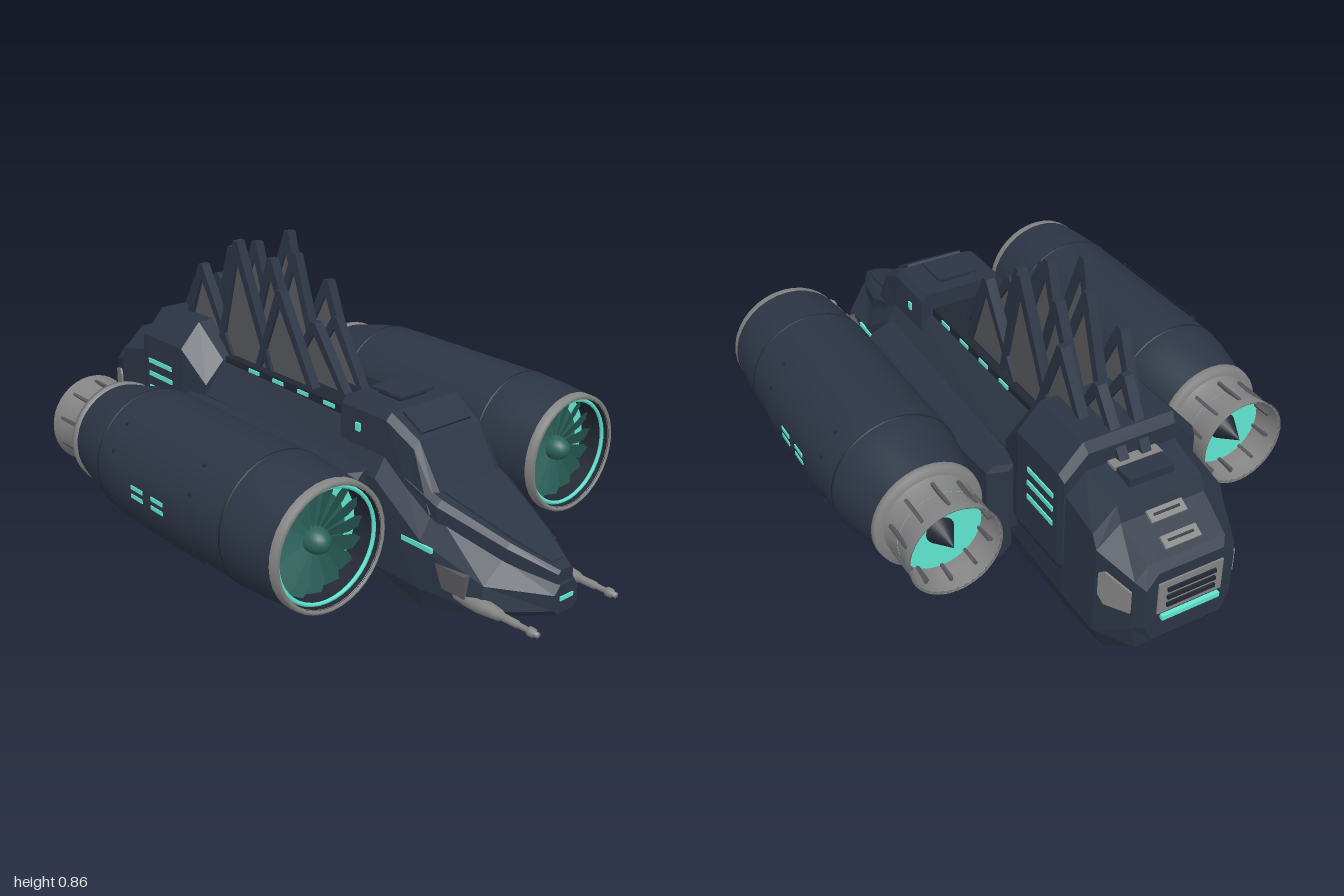
import * as THREE from 'three';

const mat = (name, color, extra = {}) => {
  const m = new THREE.MeshStandardMaterial({ color, ...extra });
  m.name = name;
  return m;
};

export function createModel() {
  const root = new THREE.Group();
  root.name = 'gunship';
  const hull = mat('hull slate', 0x2c3545);
  const dark = mat('dark slate', 0x222833);
  const grey = mat('bare metal', 0x858484, { side: THREE.DoubleSide });
  const panel = mat('sail grey', 0x58595d);
  const teal = mat('glow teal', 0x62ead4);
  const fan = mat('fan green', 0x2c625b, { side: THREE.DoubleSide });
  const blue = mat('belly glass', 0x5a92cc);

  const add = (name, geo, material, x = 0, y = 0, z = 0, parent = root) => {
    const m = new THREE.Mesh(geo, material);
    m.name = name;
    m.position.set(x, y, z);
    parent.add(m);
    return m;
  };
  const box = (name, material, w, h, d, x, y, z, parent) =>
    add(name, new THREE.BoxGeometry(w, h, d), material, x, y, z, parent);

  // Faceted loft: each section is [z, x0,y0, x1,y1, ...], a right half from bottom to top, back to front
  const loft = (sections) => {
    const rings = sections.map(([z, ...p]) => {
      const half = [];
      for (let i = 0; i < p.length; i += 2) half.push([p[i], p[i + 1], z]);
      return half.concat(half.slice().reverse().map(([x, y]) => [-x, y, z]));
    });
    const out = [], n = rings[0].length;
    for (let s = 0; s < rings.length - 1; s++) {
      const a = rings[s], b = rings[s + 1];
      for (let i = 0; i < n; i++) {
        const j = (i + 1) % n;
        out.push(...a[i], ...a[j], ...b[j], ...a[i], ...b[j], ...b[i]);
      }
    }
    const first = rings[0], last = rings[rings.length - 1];
    for (let i = 1; i < n - 1; i++) {
      out.push(...last[0], ...last[i], ...last[i + 1]);
      out.push(...first[0], ...first[i + 1], ...first[i]);
    }
    const g = new THREE.BufferGeometry();
    g.setAttribute('position', new THREE.Float32BufferAttribute(out, 3));
    g.computeVertexNormals();
    return g;
  };
  // Turned part with its axis along z; points are [radius, z]
  const turn = (pts, seg = 36) =>
    new THREE.LatheGeometry(pts.map(([r, z]) => new THREE.Vector2(r, z)), seg).rotateX(Math.PI / 2);

  // Main hull from tail to nose
  add('hull', loft([
    [-0.985, 0.11, 0.12, 0.135, 0.18, 0.135, 0.30, 0.10, 0.345],
    [-0.96, 0.14, 0.085, 0.155, 0.16, 0.155, 0.32, 0.12, 0.36],
    [-0.85, 0.16, 0.004, 0.2, 0.08, 0.2, 0.36, 0.13, 0.42],
    [-0.83, 0.165, 0.004, 0.2, 0.08, 0.2, 0.40, 0.13, 0.465],
    [-0.69, 0.17, 0.004, 0.2, 0.08, 0.2, 0.43, 0.14, 0.49],
    [-0.38, 0.17, 0.004, 0.19, 0.08, 0.19, 0.36, 0.12, 0.45],
    [0.42, 0.17, 0.004, 0.19, 0.08, 0.185, 0.34, 0.12, 0.44],
    [0.6, 0.16, 0.004, 0.188, 0.08, 0.183, 0.22, 0.13, 0.30],
    [0.81, 0.12, 0.06, 0.17, 0.09, 0.155, 0.16, 0.085, 0.215],
    [0.955, 0.03, 0.095, 0.045, 0.11, 0.045, 0.155, 0.025, 0.18]]), hull);
  add('nosePlate', loft([
    [0.5, 0.15, 0.32, 0.15, 0.36, 0.13, 0.375],
    [0.62, 0.145, 0.27, 0.145, 0.315, 0.125, 0.33],
    [0.82, 0.085, 0.21, 0.085, 0.25, 0.07, 0.262],
    [0.95, 0.028, 0.175, 0.028, 0.208, 0.02, 0.218]]), hull);
  add('noseInset', loft([
    [0.6, 0.1, 0.33, 0.1, 0.342],
    [0.82, 0.055, 0.255, 0.055, 0.268],
    [0.92, 0.022, 0.225, 0.022, 0.233]]), hull);
  box('noseLamp', teal, 0.05, 0.012, 0.008, 0, 0.14, 0.955);

  // Cockpit housing with windscreen and hatch
  add('cockpit', loft([
    [0.235, 0.15, 0.4, 0.145, 0.5, 0.125, 0.52],
    [0.42, 0.15, 0.38, 0.145, 0.5, 0.125, 0.52],
    [0.52, 0.15, 0.33, 0.135, 0.445, 0.115, 0.465],
    [0.6, 0.15, 0.28, 0.13, 0.32, 0.11, 0.335]]), hull);
  box('windscreen', hull, 0.19, 0.008, 0.085, 0, 0.497, 0.47).rotation.x = 0.5;
  box('hatchSeat', dark, 0.1, 0.016, 0.09, 0, 0.526, 0.33);
  box('hatchLid', hull, 0.13, 0.008, 0.12, 0, 0.537, 0.33);

  // Stern house
  add('sternHouse', loft([
    [-0.7, 0.19, 0.16, 0.205, 0.19, 0.205, 0.47, 0.135, 0.54],
    [-0.68, 0.2, 0.16, 0.212, 0.19, 0.212, 0.49, 0.14, 0.567],
    [-0.47, 0.2, 0.16, 0.212, 0.19, 0.212, 0.49, 0.14, 0.567],
    [-0.37, 0.185, 0.16, 0.192, 0.19, 0.19, 0.39, 0.12, 0.46]]), hull);
  box('sternSlab', grey, 0.15, 0.01, 0.035, 0, 0.491, -0.717);
  box('sternHatch', hull, 0.14, 0.03, 0.06, 0, 0.48, -0.765);
  for (const [y, z] of [[0.419, -0.865], [0.383, -0.93]]) {
    box('tailVent', grey, 0.11, 0.008, 0.035, 0, y, z).rotation.x = -0.5;
    box('tailVentSlot', dark, 0.08, 0.008, 0.007, 0, y + 0.002, z).rotation.x = -0.5;
  }
  box('tailPanel', grey, 0.2, 0.1, 0.008, 0, 0.26, -0.986);
  for (const y of [0.235, 0.26, 0.285]) box('tailSlat', dark, 0.15, 0.011, 0.008, 0, y, -0.993);
  box('tailLamp', teal, 0.18, 0.014, 0.012, 0, 0.198, -0.994);

  // Cross-beam joining the engines to the hull
  add('pylon', loft([
    [-0.44, 0.22, 0.13, 0.22, 0.335, 0.2, 0.355],
    [-0.42, 0.28, 0.11, 0.28, 0.335, 0.26, 0.355],
    [-0.22, 0.29, 0.11, 0.29, 0.335, 0.27, 0.355],
    [0.2, 0.29, 0.11, 0.29, 0.335, 0.27, 0.355],
    [0.36, 0.28, 0.11, 0.28, 0.335, 0.26, 0.355],
    [0.39, 0.22, 0.13, 0.22, 0.335, 0.2, 0.355]]), hull);

  // Belly glazing: thin panes with clipped corners
  const pane = (name, w, d, c, x, z) => {
    const a = w / 2, b = d / 2;
    add(name, loft([[-b, a - c, 0, a - c, 0.006], [-b + c, a, 0, a, 0.006],
      [b - c, a, 0, a, 0.006], [b, a - c, 0, a - c, 0.006]]), blue, x, 0, z);
  };
  for (const [z, d] of [[0.46, 0.24], [0.14, 0.33], [-0.22, 0.32], [-0.57, 0.31]])
    for (const x of [-0.074, 0.074]) pane('bellyWindow', 0.122, d, 0.012, x, z);

  // Deck rail under the sails
  box('deckRail', dark, 0.22, 0.03, 0.6, 0, 0.455, -0.07);

  // Triangular sail: open frame with a thin panel, shape x running along z
  const sail = (s, x, tilt, z, peak) => {
    const h = (peak - 0.45), b = 0.15, k = 0.022 * Math.hypot(h, b);
    const tri = (T, c, lo, top, tip) => {
      const t = new T();
      t.moveTo(-c, lo).lineTo(c, lo).lineTo(tip, top).lineTo(-tip, top).closePath();
      return t;
    };
    const c = b - k / h - 0.006, top = h - k / b;
    const extrude = (shape, depth) => new THREE.ExtrudeGeometry(shape, { depth, bevelEnabled: false })
      .translate(0, 0, -depth / 2).rotateY(-Math.PI / 2);
    const frame = tri(THREE.Shape, b, 0, h, 0.01);
    frame.holes.push(tri(THREE.Path, c, 0.012, top, 0.002));
    const g = new THREE.Group();
    g.name = 'sail';
    g.position.set(s * x, 0.45, z);
    g.rotation.z = -s * tilt;
    root.add(g);
    add('sailFrame', extrude(frame, 0.03), hull, 0, 0, 0, g);
    add('sailPanel', extrude(tri(THREE.Shape, c, 0.012, top, 0.002), 0.01), panel, 0, 0, 0, g);
  };

  // One fan blade with a narrowed tip, pitched about its length
  const bladeShape = new THREE.Shape([[-0.007, 0.03], [0.007, 0.03], [0.03, 0.128], [0.021, 0.16],
    [-0.021, 0.16], [-0.03, 0.128]].map(([x, y]) => new THREE.Vector2(x, y)));
  const blade = new THREE.ShapeGeometry(bladeShape).rotateY(0.4);

  const engine = (s) => {
    const g = new THREE.Group();
    g.name = s > 0 ? 'leftEngine' : 'rightEngine';
    g.position.set(s * 0.47, 0.283, 0);
    root.add(g);
    const put = (name, geo, m, z = 0) => add(name, geo, m, 0, 0, z, g);
    put('nacelle', turn([[0.157, -0.43], [0.168, -0.38], [0.187, -0.3], [0.196, -0.24], [0.198, -0.15],
      [0.198, 0.36], [0.192, 0.46], [0.182, 0.565]]), hull);
    put('intakeLip', turn([[0.184, 0.55], [0.182, 0.575], [0.174, 0.58], [0.168, 0.572]]), grey);
    put('intakeDuct', turn([[0.169, 0.575], [0.163, 0.47]]), dark);
    put('intakeGlow', new THREE.TorusGeometry(0.161, 0.006, 6, 40), teal, 0.555);
    put('glowRing', new THREE.RingGeometry(0.12, 0.168, 40), teal, 0.475);
    put('fanBack', new THREE.CircleGeometry(0.125, 40), fan, 0.48);
    for (let i = 0; i < 16; i++) put('fanBlade', blade, fan, 0.502).rotation.z = i * Math.PI / 8;
    put('spinner', new THREE.SphereGeometry(0.037, 20, 12).scale(1, 1, 1.3), fan, 0.51);

    // Seam bands and bolted outer cover
    for (const [z, r] of [[0.36, 0.1992], [-0.24, 0.1975]])
      put('seam', turn([[r - 0.004, z - 0.005], [r, z - 0.003], [r, z + 0.003], [r - 0.004, z + 0.005]]), dark);
    put('outerCover', new THREE.CylinderGeometry(0.204, 0.204, 0.42, 16, 1, true,
      s * Math.PI / 2 - 0.9, 1.8).rotateX(Math.PI / 2), hull, 0.03);
    for (const a of [-0.82, -0.4, 0.4, 0.82]) for (const z of [-0.16, 0.22])
      box('bolt', dark, 0.008, 0.01, 0.01, s * 0.202 * Math.cos(a), 0.202 * Math.sin(a), z, g).rotation.z = s * a;
    for (const y of [-0.013, 0.013]) for (const z of [0.08, -0.02])
      box('coverLamp', teal, 0.008, 0.012, 0.056, s * 0.202, y, z, g);

    // Exhaust
    put('exhaustCollar', turn([[0.13, -0.45], [0.162, -0.448], [0.165, -0.43], [0.155, -0.42]]), grey);
    put('nozzle', turn([[0.132, -0.6], [0.139, -0.605], [0.129, -0.55], [0.125, -0.51], [0.128, -0.47],
      [0.14, -0.44]]), grey);
    for (let i = 0; i < 10; i++) {
      const a = (i + 0.5) * Math.PI / 5;
      box('nozzleRib', panel, 0.018, 0.009, 0.1, 0.127 * Math.cos(a), 0.127 * Math.sin(a), -0.52, g).rotation.z = a;
    }
    put('exhaustGlow', new THREE.CircleGeometry(0.126, 32).rotateY(Math.PI), teal, -0.51);
    put('exhaustCone', new THREE.ConeGeometry(0.042, 0.08, 20).rotateX(-Math.PI / 2), dark, -0.55);
  };

  // Low octagonal pontoon, lofted about its own centre
  const oct = (z, w, lo, hi) => [z, w - 0.034, lo, w, lo + 0.034, w, hi - 0.034, w - 0.034, hi];
  const pontoon = loft([oct(-0.42, 0.064, 0.012, 0.116), oct(-0.39, 0.072, 0.004, 0.122),
    oct(0.35, 0.072, 0.004, 0.122), oct(0.38, 0.066, 0.01, 0.116)]);

  for (const s of [-1, 1]) {
    engine(s);
    add('pontoon', pontoon, hull, s * 0.262, 0, 0);
    for (const z of [-0.225, -0.03, 0.165]) pane('pontoonWindow', 0.074, 0.17, 0.02, s * 0.262, z);

    // Sails in two staggered rows
    for (const [z, p] of [[-0.1, 0.745], [-0.3, 0.86], [-0.5, 0.745]]) sail(s, 0.075, 0.06, z, p);
    for (const [z, p] of [[0, 0.66], [-0.2, 0.815], [-0.4, 0.815], [-0.6, 0.67]]) sail(s, 0.033, 0.04, z, p);

    // Side lamps
    for (const y of [0.312, 0.36, 0.405]) box('sternLamp', teal, 0.008, 0.015, 0.13, s * 0.212, y, -0.595);
    box('noseSideLamp', teal, 0.008, 0.014, 0.115, s * 0.184, 0.207, 0.59);
    box('cockpitLamp', teal, 0.008, 0.024, 0.018, s * 0.149, 0.45, 0.31);
    for (const z of [0.14, 0.02, -0.1, -0.22]) box('deckLamp', teal, 0.008, 0.012, 0.05, s * 0.11, 0.458, z);
    add('tailSidePanel', loft([[-0.05, 0.003, -0.04, 0.003, 0.03], [0.03, 0.003, -0.055, 0.003, 0.055],
      [0.05, 0.003, -0.03, 0.003, 0.04]]), grey, s * 0.18, 0.255, -0.91).rotation.y = s * 0.39;

    // Chin gun
    box('gunMount', panel, 0.03, 0.065, 0.15, s * 0.165, 0.143, 0.69);
    add('gunBody', turn([[0, 0.68], [0.022, 0.7], [0.024, 0.8], [0.016, 0.87], [0.011, 0.88], [0.011, 0.93],
      [0.008, 0.935], [0.008, 0.965], [0.013, 0.97], [0.013, 0.985], [0.008, 0.99], [0.008, 1], [0, 1]], 14),
      grey, s * 0.155, 0.103, 0);
  }
  return root;
}
